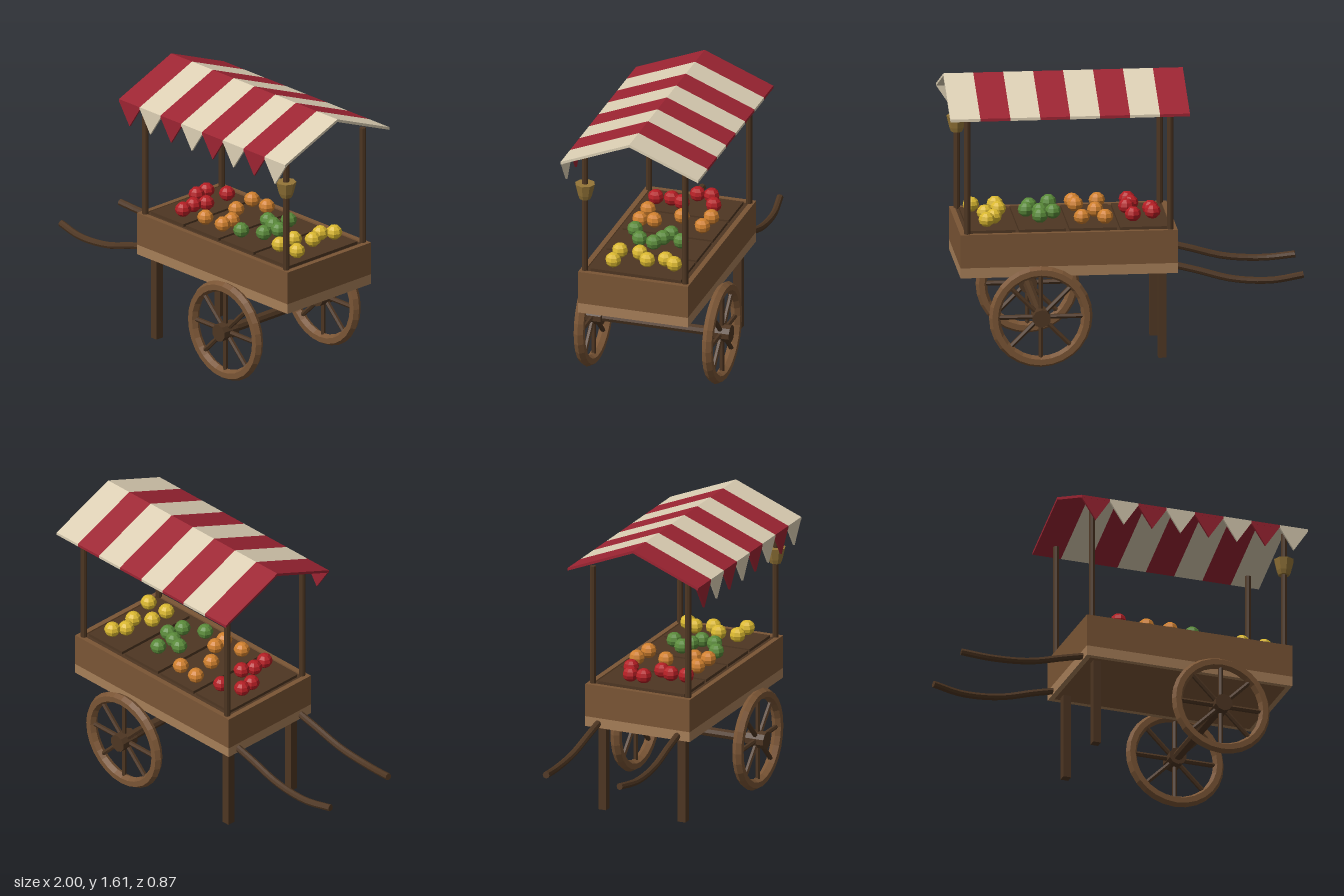
import * as THREE from 'three';

const mat = (name, color) => {
  const m = new THREE.MeshStandardMaterial({ color, flatShading: true });
  m.name = name;
  return m;
};

export function createModel() {
  const M = {
    wood: mat('wood', 0x7a5535),
    trim: mat('light wood trim', 0xa67e58),
    dark: mat('dark wood', 0x4e3622),
    awningRed: mat('awning red', 0x9c2432),
    cream: mat('awning cream', 0xdccfb4),
    brass: mat('brass', 0x957638),
    red: mat('red fruit', 0xb41e24),
    orange: mat('orange fruit', 0xd0802e),
    green: mat('green fruit', 0x5a8a3a),
    yellow: mat('yellow fruit', 0xdab830),
  };
  const model = new THREE.Group();
  model.name = 'marketCart';

  const add = (name, geo, material, x = 0, y = 0, z = 0, parent = model) => {
    const mesh = new THREE.Mesh(geo, material);
    mesh.name = name;
    mesh.position.set(x, y, z);
    parent.add(mesh);
    return mesh;
  };
  // box given by its min and max corners
  const box = (name, material, x0, x1, y0, y1, z0, z1) =>
    add(name, new THREE.BoxGeometry(x1 - x0, y1 - y0, z1 - z0), material,
      (x0 + x1) / 2, (y0 + y1) / 2, (z0 + z1) / 2);

  // Cart body: floor, four walls with an open top, light trim around the base
  const X0 = -0.285, X1 = 0.935, Z = 0.323, T = 0.03;
  box('floor', M.wood, X0 + T, X1 - T, 0.517, 0.56, -Z + T, Z - T);
  box('bed', M.dark, X0 + T, X1 - T, 0.56, 0.757, -Z + T, Z - T);
  for (const [part, m, y0, y1] of [['trim', M.trim, 0.517, 0.575], ['wall', M.wood, 0.575, 0.766]]) {
    for (const s of [-1, 1]) {
      const z = s * (Z - T / 2);
      box(part + (s > 0 ? 'Front' : 'Back'), m, X0, X1, y0, y1, z - T / 2, z + T / 2);
    }
    box(part + 'Right', m, X0, X0 + T, y0, y1, -Z + T, Z - T);
    box(part + 'Left', m, X1 - T, X1, y0, y1, -Z + T, Z - T);
  }

  // Produce: four trays, each with a cluster of ribbed fruit [x, z]
  const crops = [
    ['red', [[-0.165, -0.1], [-0.16, -0.02], [-0.05, -0.15], [-0.03, 0.03], [-0.06, 0.1], [-0.05, 0.19]]],
    ['orange', [[0.11, -0.19], [0.24, -0.18], [0.15, -0.03], [0.12, 0.18], [0.26, 0.18], [0.25, 0.1]]],
    ['green', [[0.47, -0.13], [0.39, -0.045], [0.46, -0.02], [0.535, 0.01], [0.51, 0.1], [0.395, 0.165]]],
    ['yellow', [[0.775, -0.19], [0.73, -0.125], [0.77, -0.03], [0.69, 0.04], [0.695, 0.155], [0.83, 0.15]]],
  ];
  const fruitGeo = new THREE.SphereGeometry(0.046, 8, 6);
  fruitGeo.scale(1, 0.93, 1);
  crops.forEach(([name, spots], i) => {
    const cx = -0.1 + i * 0.284;
    box(name + 'Tray', M.dark, cx - 0.132, cx + 0.132, 0.757, 0.774, -0.265, 0.265);
    for (const [x, z] of spots) add(name + 'Fruit', fruitGeo, M[name], x, 0.82, z);
  });

  // Awning posts, legs and curved handles on both sides
  const postGeo = new THREE.CylinderGeometry(0.018, 0.018, 0.695, 8);
  for (const s of [-1, 1]) {
    for (const x of [-0.245, 0.895]) add('post', postGeo, M.dark, x, 1.108, s * 0.295);
    box('leg', M.dark, -0.228, -0.182, 0.015, 0.517, s * 0.245 - 0.024, s * 0.245 + 0.024);

    const path = new THREE.CatmullRomCurve3([
      [-0.27, 0.545, 0.245], [-0.4, 0.512, 0.247], [-0.6, 0.458, 0.252],
      [-0.82, 0.443, 0.25], [-0.998, 0.464, 0.227],
    ].map(([x, y, z]) => new THREE.Vector3(x, y, s * z)));
    const handle = new THREE.Group();
    handle.name = 'handle';
    model.add(handle);
    add('handleBar', new THREE.TubeGeometry(path, 14, 0.02, 8), M.dark, 0, 0, 0, handle);
    for (const t of [0, 1]) {
      const cap = add('handleCap', new THREE.CircleGeometry(0.02, 8), M.dark, 0, 0, 0, handle);
      const p = path.getPoint(t), d = path.getTangent(t).multiplyScalar(t ? 1 : -1);
      cap.position.copy(p);
      cap.lookAt(p.clone().add(d));
    }
  }

  // Axle and spoked wheels
  const rod = (r, len, sides) => new THREE.CylinderGeometry(r, r, len, sides);
  const WX = 0.49, WY = 0.3;
  add('axle', rod(0.028, 0.66, 8).rotateX(Math.PI / 2), M.dark, WX, WY, 0);
  const rimGeo = new THREE.TorusGeometry(0.259, 0.032, 6, 28);
  const hubGeo = rod(0.051, 0.112, 10).rotateX(Math.PI / 2);
  const spokeGeo = rod(0.014, 0.24, 6).translate(0, 0.12, 0);
  for (const s of [-1, 1]) {
    const wheel = new THREE.Group();
    wheel.name = 'wheel';
    wheel.position.set(WX, WY, s * 0.377);
    model.add(wheel);
    add('rim', rimGeo, M.wood, 0, 0, 0, wheel);
    add('hub', hubGeo, M.dark, 0, 0, 0, wheel);
    for (let i = 0; i < 8; i++) {
      add('spoke', spokeGeo, M.dark, 0, 0, 0, wheel).rotation.z = i * Math.PI / 4;
    }
  }

  // Striped gable awning with pointed pennants along the front eave
  const AX = -0.345, N = 8, W = 1.345 / N, E = 0.404;
  const gable = new THREE.Shape([
    [-E, 1.442], [0, 1.604], [E, 1.442], [E, 1.458], [0, 1.62], [-E, 1.458],
  ].map(([x, y]) => new THREE.Vector2(x, y)));
  const stripeGeo = new THREE.ExtrudeGeometry(gable, { depth: W, bevelEnabled: false });
  stripeGeo.rotateY(Math.PI / 2);
  const pennant = new THREE.Shape([[0, 1.445], [W / 2, 1.318], [W, 1.445]]
    .map(([x, y]) => new THREE.Vector2(x, y)));
  const pennantGeo = new THREE.ExtrudeGeometry(pennant, { depth: 0.012, bevelEnabled: false });
  for (let i = 0; i < N; i++) {
    const m = i % 2 ? M.cream : M.awningRed;
    add('awningStripe', stripeGeo, m, AX + i * W, 0, 0);
    add('pennant', pennantGeo, m, AX + i * W, 0, 0.391);
  }

  // Lantern on the front left post
  const lanternGeo = new THREE.LatheGeometry([
    [0, 1.205], [0.032, 1.205], [0.042, 1.23], [0.058, 1.297], [0, 1.297],
  ].map(([x, y]) => new THREE.Vector2(x, y)), 8);
  add('lantern', lanternGeo, M.brass, 0.895, 0, 0.295);

  return model;
}
